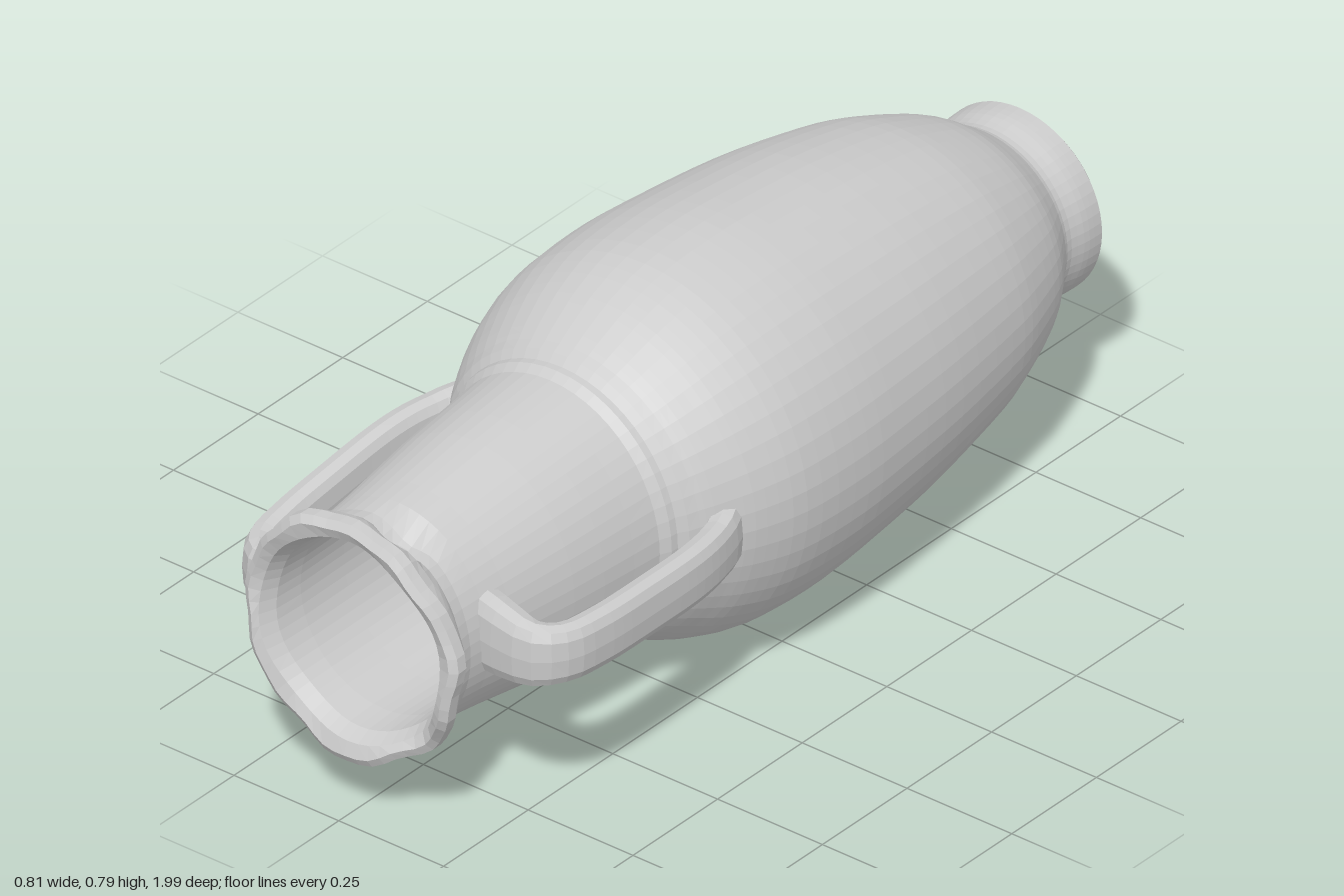
import * as THREE from 'three';

const material = new THREE.MeshStandardMaterial({ color: 0xcccccc, flatShading: true, side: THREE.DoubleSide });
const { smoothstep } = THREE.MathUtils;
const vectors = (list) => list.map(([r, z]) => new THREE.Vector2(r, z));

// Half-section of the jar as [radius, distance along the axis]
const foot = vectors([[0, -0.965], [0.03, -0.96], [0.06, -0.955], [0.12, -0.965], [0.155, -0.975], [0.17, -0.995], [0.185, -1]]);
const body = new THREE.SplineCurve(vectors([
  [0.196, -0.99], [0.195, -0.95], [0.189, -0.9], [0.21, -0.865], [0.255, -0.8], [0.297, -0.7], [0.328, -0.6],
  [0.365, -0.4], [0.387, -0.2], [0.397, -0.05], [0.39, 0.1], [0.363, 0.2], [0.333, 0.265], [0.307, 0.315],
])).getPoints(44);
const neck = vectors([
  [0.3, 0.335], [0.287, 0.35], [0.288, 0.365], [0.279, 0.385], [0.275, 0.45], [0.268, 0.53], [0.26, 0.61],
  [0.249, 0.69], [0.238, 0.77], [0.231, 0.83], [0.227, 0.88], [0.231, 0.91], [0.246, 0.935], [0.256, 0.96], [0.256, 0.985],
]);
const inside = vectors([
  [0.24, 0.995], [0.215, 0.985], [0.2, 0.95], [0.196, 0.88], [0.198, 0.75], [0.198, 0.6],
  [0.195, 0.45], [0.18, 0.36], [0.14, 0.3], [0.08, 0.27], [0, 0.26],
]);

// Turned body, laid along z, then made slightly irregular by hand
function vesselGeometry() {
  const g = new THREE.LatheGeometry([...foot, ...body, ...neck, ...inside], 56);
  g.rotateX(Math.PI / 2);
  const p = g.attributes.position;
  for (let i = 0; i < p.count; i++) {
    let x = p.getX(i), y = p.getY(i), z = p.getZ(i);
    const r = Math.hypot(x, y), a = Math.atan2(y, x);
    const atNeck = smoothstep(z, 0.28, 0.42), atRim = smoothstep(z, 0.9, 0.97);
    const innerWall = z > 0 && r < 0.22;

    // neck is a little narrower sideways
    if (!innerWall) x *= 1 - 0.075 * atNeck * (1 - 0.7 * atRim);
    // worn, chipped lip
    if (!innerWall) {
      const wear = 1 + atRim * (0.018 * Math.sin(3 * a + 1) + 0.015 * Math.sin(7 * a) + 0.012 * Math.sin(13 * a));
      x *= wear;
      y *= wear;
    }
    const chip = Math.exp(-(((a + 0.75) / 0.3) ** 2));
    z -= atRim * (0.006 + 0.006 * Math.sin(5 * a) + 0.025 * chip);
    // small dent under the lip on top
    if (!innerWall && y > 0) {
      y -= 0.045 * Math.exp(-(((x - 0.06) / 0.045) ** 2) - ((z - 0.9) / 0.03) ** 2);
    }
    // slanting inner floor
    if (innerWall) z += 0.45 * (x + y) * (1 - smoothstep(z, 0.3, 0.7));

    // axis drifts slightly along the length
    const cx = 0.008 + 0.01 * smoothstep(-z, 0.4, 1);
    const cy = 0.4 - 0.01 * atNeck - 0.003 * smoothstep(-z, 0.5, 1);
    p.setXYZ(i, x + cx, y + cy, z);
  }
  g.computeVertexNormals();
  return g;
}

// Strap handle: a rounded oblong section swept along a path in the xz plane
function handleGeometry(side, yNeck, yBody) {
  const path = new THREE.CatmullRomCurve3([
    [0.2, 0.81], [0.26, 0.822], [0.325, 0.825], [0.362, 0.785], [0.374, 0.7],
    [0.37, 0.55], [0.36, 0.4], [0.345, 0.32], [0.325, 0.265], [0.29, 0.22],
  ].map(([x, z]) => new THREE.Vector3(side * x + 0.002, 0, z)));
  const rings = 30, sides = 12, pos = [], index = [];
  for (let i = 0; i <= rings; i++) {
    const t = i / rings, c = path.getPointAt(t), d = path.getTangentAt(t);
    const y = THREE.MathUtils.lerp(yNeck, yBody, smoothstep(t, 0.15, 0.9));
    const flare = 1 - smoothstep(t, 0, 0.25) + smoothstep(t, 0.85, 1) * 0.6;
    const half = 0.06 + 0.022 * flare, thick = 0.031 + 0.008 * flare;
    for (let j = 0; j < sides; j++) {
      const a = (j / sides) * Math.PI * 2, ca = Math.cos(a), sa = Math.sin(a);
      const u = Math.sign(ca) * Math.abs(ca) ** 0.7 * thick;
      const v = Math.sign(sa) * Math.abs(sa) ** 0.7 * half;
      pos.push(c.x - d.z * u, y + v, c.z + d.x * u);
      if (i < rings) {
        const k = i * sides, n = (j + 1) % sides;
        index.push(k + j, k + n, k + sides + j, k + n, k + sides + n, k + sides + j);
      }
    }
  }
  const g = new THREE.BufferGeometry();
  g.setAttribute('position', new THREE.Float32BufferAttribute(pos, 3));
  g.setIndex(index);
  g.computeVertexNormals();
  return g;
}

export function createModel() {
  const model = new THREE.Group();
  model.name = 'jar';
  const add = (name, geometry) => {
    const mesh = new THREE.Mesh(geometry, material);
    mesh.name = name;
    model.add(mesh);
  };
  add('vessel', vesselGeometry());
  add('leftHandle', handleGeometry(1, 0.415, 0.395));
  add('rightHandle', handleGeometry(-1, 0.333, 0.4));
  return model;
}
